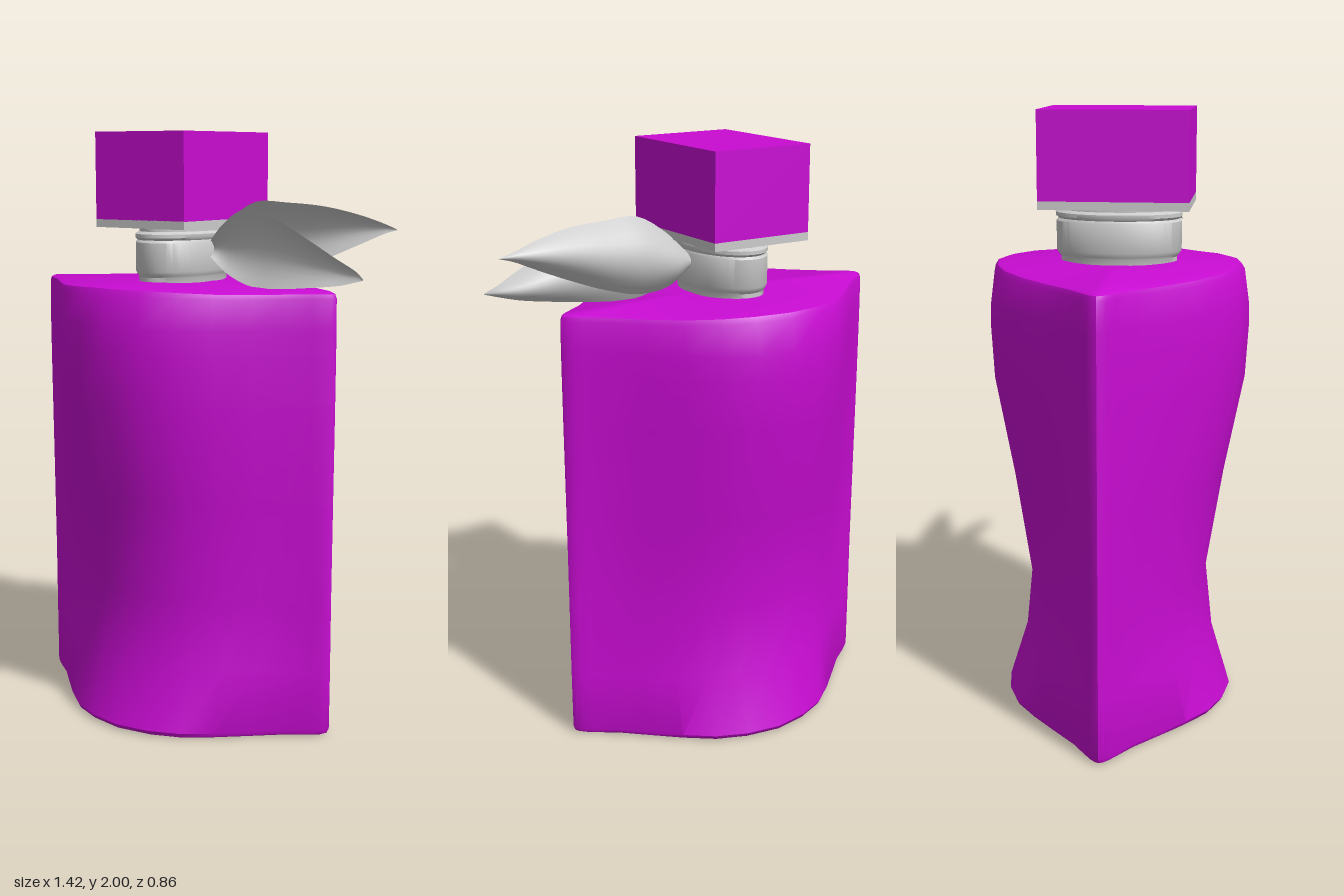
import * as THREE from 'three';
import { toCreasedNormals } from 'three/addons/utils/BufferGeometryUtils.js';

const CX = -0.108; // axis of bottle, neck and cap

function makeGeometry(positions, index) {
  const g = new THREE.BufferGeometry();
  g.setAttribute('position', new THREE.Float32BufferAttribute(positions, 3));
  g.setIndex(index);
  g.computeVertexNormals();
  return g;
}

// Lens-shaped outline: quarter points mirrored into a closed loop (unit half sizes)
function lensLoop() {
  const quarter = [[1, 0], [0.99, 0.035], [0.965, 0.075], [0.92, 0.128], [0.81, 0.25],
    [0.67, 0.45], [0.52, 0.66], [0.37, 0.84], [0.2, 0.95], [0, 1]];
  const half = [...quarter, ...quarter.slice(0, -1).reverse().map(([x, z]) => [-x, z])];
  return [...half, ...half.slice(1, -1).reverse().map(([x, z]) => [x, -z])];
}

// Bottle lofted from lens outlines: [y, half width, half depth, crown rise]
function bottleGeometry() {
  const rings = [
    [0.0, 0.585, 0.368, 0], [0.006, 0.598, 0.38, 0], [0.02, 0.605, 0.388, 0],
    [0.22, 0.607, 0.325, 0], [0.46, 0.607, 0.3, 0], [0.8, 0.607, 0.355, 0],
    [1.13, 0.607, 0.42, 0], [1.3, 0.607, 0.43, 0], [1.38, 0.607, 0.428, 0],
    [1.475, 0.606, 0.413, 0.012], [1.49, 0.6, 0.402, 0.015], [1.496, 0.585, 0.375, 0.015]];
  const loop = lensLoop(), n = loop.length, pos = [], idx = [];
  for (const [y, hx, hz, rise] of rings)
    for (const [x, z] of loop)
      pos.push(CX + x * hx, y + rise * Math.max(0, 1 - 3 * x * x), z * hz);
  for (let i = 0; i < rings.length - 1; i++)
    for (let j = 0; j < n; j++) {
      const a = i * n + j, b = i * n + (j + 1) % n;
      idx.push(a, a + n, b, b, a + n, b + n);
    }
  // close the base and the shoulder
  const base = pos.length / 3, last = (rings.length - 1) * n;
  pos.push(CX, 0, 0, CX, 1.511, 0);
  for (let j = 0; j < n; j++) {
    const k = (j + 1) % n;
    idx.push(base, j, k, base + 1, last + k, last + j);
  }
  return toCreasedNormals(makeGeometry(pos, idx), 0.6);
}

// Cupped leaf: stations of [x, top y, bottom y, top z, middle z, bottom z]
function leafGeometry(stations) {
  const across = 10, along = 28, pos = [], idx = [];
  const curve = (k) => new THREE.CatmullRomCurve3(
    stations.map((s) => new THREE.Vector3(s[0], s[k], 0)));
  const curves = [1, 2, 3, 4, 5].map(curve);
  for (let i = 0; i <= along; i++) {
    const p = curves.map((c) => c.getPoint(i / along));
    const [yt, yb, zt, zm, zb] = p.map((v) => v.y);
    for (let j = 0; j <= across; j++) {
      const t = j / across;
      const z = zt * (1 - t) * (1 - 2 * t) + zm * 4 * t * (1 - t) + zb * t * (2 * t - 1);
      pos.push(p[0].x, yt + (yb - yt) * t, z);
    }
  }
  for (let i = 0; i < along; i++)
    for (let j = 0; j < across; j++) {
      const a = i * (across + 1) + j, b = a + across + 1;
      idx.push(a, a + 1, b, b, a + 1, b + 1);
    }
  return makeGeometry(pos, idx);
}

export function createModel() {
  const group = new THREE.Group();
  const purple = new THREE.MeshStandardMaterial({ color: 0xc80cd2 });
  const grey = new THREE.MeshStandardMaterial({ color: 0xcccccc });
  const leafGrey = new THREE.MeshStandardMaterial({ color: 0xcccccc, side: THREE.DoubleSide });
  const add = (name, geometry, material, x = 0, y = 0, z = 0) => {
    const m = new THREE.Mesh(geometry, material);
    m.name = name;
    m.position.set(x, y, z);
    group.add(m);
    return m;
  };

  add('bottle', bottleGeometry(), purple);

  // Oval neck with a foot flange and a bead below the cap
  const profile = [[0.0, 1.49], [0.118, 1.49], [0.118, 1.525], [0.122, 1.532], [0.127, 1.545],
    [0.127, 1.64], [0.122, 1.648], [0.128, 1.656], [0.128, 1.668], [0.117, 1.676],
    [0.117, 1.695], [0, 1.695]].map(([r, y]) => new THREE.Vector2(r, y));
  const neck = new THREE.LatheGeometry(profile, 48);
  neck.scale(1, 1, 1.62);
  add('neck', toCreasedNormals(neck, 0.7), grey, CX);

  // Cap block on its collar plate
  add('capCollar', new THREE.BoxGeometry(0.365, 0.027, 0.48), grey, CX, 1.7025);
  add('cap', new THREE.BoxGeometry(0.365, 0.285, 0.48), purple, CX, 1.8575);

  // Two leaves springing from the side of the neck
  add('backLeaf', leafGeometry([
    [0.02, 1.64, 1.59, 0.0, -0.02, 0.0], [0.09, 1.71, 1.54, 0.015, -0.055, 0.0],
    [0.2, 1.775, 1.525, 0.02, -0.065, 0.0], [0.32, 1.775, 1.55, 0.015, -0.062, 0.005],
    [0.46, 1.765, 1.6, 0.01, -0.055, 0.01], [0.58, 1.74, 1.65, -0.005, -0.045, 0.0],
    [0.66, 1.715, 1.685, -0.015, -0.028, -0.012], [0.705, 1.7, 1.698, -0.01, -0.01, -0.01]]), leafGrey);
  add('frontLeaf', leafGeometry([
    [0.02, 1.645, 1.59, 0.02, 0.0, 0.02], [0.09, 1.7, 1.54, 0.05, 0.005, 0.03],
    [0.2, 1.752, 1.502, 0.09, 0.015, 0.045], [0.32, 1.735, 1.502, 0.115, 0.03, 0.065],
    [0.46, 1.675, 1.515, 0.135, 0.055, 0.09], [0.58, 1.615, 1.53, 0.145, 0.085, 0.115],
    [0.65, 1.578, 1.546, 0.142, 0.12, 0.135], [0.685, 1.557, 1.554, 0.158, 0.158, 0.158]]), leafGrey);

  return group;
}
